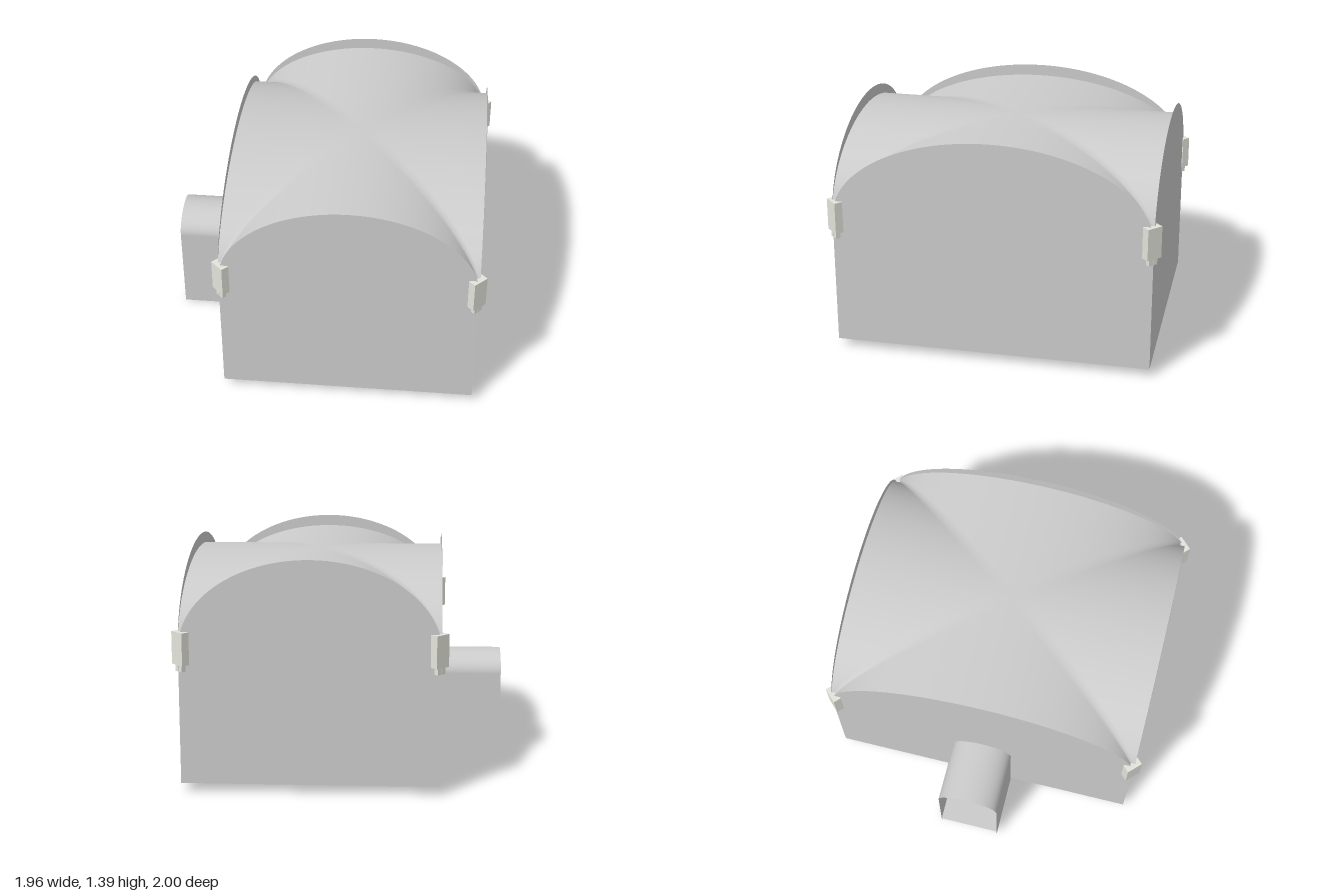
import * as THREE from 'three';

const CX = 0.168, HX = 0.767, HZ = 0.96;   // hall centre and half sizes
const BASE = 0.05, SPRING = 0.86;          // floor level, start of the arches

const grey = new THREE.MeshStandardMaterial({ color: 0xcccccc, side: THREE.DoubleSide });
const pale = new THREE.MeshStandardMaterial({ color: 0xe4e4dc });

function add(parent, name, geometry, material = grey) {
  const mesh = new THREE.Mesh(geometry, material);
  mesh.name = name;
  parent.add(mesh);
  return mesh;
}

// Thin wall with an elliptical arched top
function wallGeometry(half) {
  const s = new THREE.Shape();
  s.moveTo(-half, BASE);
  s.lineTo(half, BASE);
  s.lineTo(half, SPRING);
  s.absellipse(0, SPRING, half, 0.534, 0, Math.PI, false);
  s.closePath();
  return new THREE.ShapeGeometry(s, 64);
}

// Cross vault: two crossing barrels, the higher one wins
function vaultGeometry(n = 48) {
  const pos = [], index = [];
  const at = i => Math.sin((i / n - 0.5) * Math.PI);
  for (let j = 0; j <= n; j++) for (let i = 0; i <= n; i++) {
    const u = at(i), v = at(j);
    const m = Math.min(Math.abs(u), Math.abs(v));
    pos.push(u * HX, SPRING + 0.463 * Math.sqrt(Math.max(0, 1 - m * m)), v * HZ);
  }
  for (let j = 0; j < n; j++) for (let i = 0; i < n; i++) {
    const a = j * (n + 1) + i, b = a + 1, c = a + n + 1, d = c + 1;
    // Split each cell along the groin of its quadrant
    if ((i < n / 2) === (j < n / 2)) index.push(a, c, d, a, d, b);
    else index.push(a, c, b, b, c, d);
  }
  const g = new THREE.BufferGeometry();
  g.setAttribute('position', new THREE.Float32BufferAttribute(pos, 3));
  g.setIndex(index);
  g.computeVertexNormals();
  return g;
}

// Open tunnel: straight sides and an elliptical crown, swept along x
function tunnelGeometry(x0, x1) {
  const half = 0.188, side = 0.55, rise = 0.125, steps = 24;
  const section = [[half, 0, 1, 0], [half, side, 1, 0]];   // z, y and normal
  for (let i = 1; i < steps; i++) {
    const t = i / steps * Math.PI;
    const nz = Math.cos(t) / half, ny = Math.sin(t) / rise, l = Math.hypot(nz, ny);
    section.push([half * Math.cos(t), side + rise * Math.sin(t), nz / l, ny / l]);
  }
  section.push([-half, side, -1, 0], [-half, 0, -1, 0]);
  const pos = [], nor = [], index = [];
  section.forEach(([z, y, nz, ny], i) => {
    pos.push(x0, y, z, x1, y, z);
    nor.push(0, ny, nz, 0, ny, nz);
    if (i) {
      const a = 2 * i - 2;
      index.push(a, a + 1, a + 2, a + 1, a + 3, a + 2);
    }
  });
  const g = new THREE.BufferGeometry();
  g.setAttribute('position', new THREE.Float32BufferAttribute(pos, 3));
  g.setAttribute('normal', new THREE.Float32BufferAttribute(nor, 3));
  g.setIndex(index);
  return g;
}

export function createModel() {
  const model = new THREE.Group();
  model.name = 'vaultedShelter';

  // Hall: four arched walls, vaulted roof and floor
  const hall = new THREE.Group();
  hall.name = 'hall';
  hall.position.x = CX;
  model.add(hall);
  add(hall, 'frontWall', wallGeometry(HX)).position.z = HZ;
  const back = add(hall, 'backWall', wallGeometry(HX));
  back.position.z = -HZ;
  back.rotation.y = Math.PI;
  for (const s of [1, -1]) {
    const wall = add(hall, s > 0 ? 'leftWall' : 'rightWall', wallGeometry(HZ));
    wall.position.x = s * HX;
    wall.rotation.y = s * Math.PI / 2;
  }
  add(hall, 'vaultedRoof', vaultGeometry());
  const floor = add(hall, 'floor', new THREE.PlaneGeometry(2 * HX, 2 * HZ));
  floor.rotation.x = Math.PI / 2;
  floor.position.y = BASE;

  // Corner boxes, turned to face outwards along the diagonals
  for (const sx of [1, -1]) for (const sz of [1, -1]) {
    const corner = new THREE.Group();
    corner.name = 'cornerBox';
    corner.position.set(sx * 0.755, 0, sz * 0.9475);
    corner.rotation.y = Math.atan2(sx, sz);
    add(corner, 'boxBody', new THREE.BoxGeometry(0.1, 0.195, 0.05), pale).position.y = 0.868;
    add(corner, 'boxFoot', new THREE.BoxGeometry(0.06, 0.042, 0.03), pale).position.y = 0.75;
    hall.add(corner);
  }

  // Entrance tunnel on the right side
  const porch = new THREE.Group();
  porch.name = 'entranceTunnel';
  model.add(porch);
  add(porch, 'tunnelShell', tunnelGeometry(-0.98, CX - HX));
  const porchFloor = add(porch, 'tunnelFloor', new THREE.PlaneGeometry(0.38, 0.376));
  porchFloor.rotation.x = -Math.PI / 2;
  porchFloor.position.set(-0.79, BASE, 0);

  return model;
}
